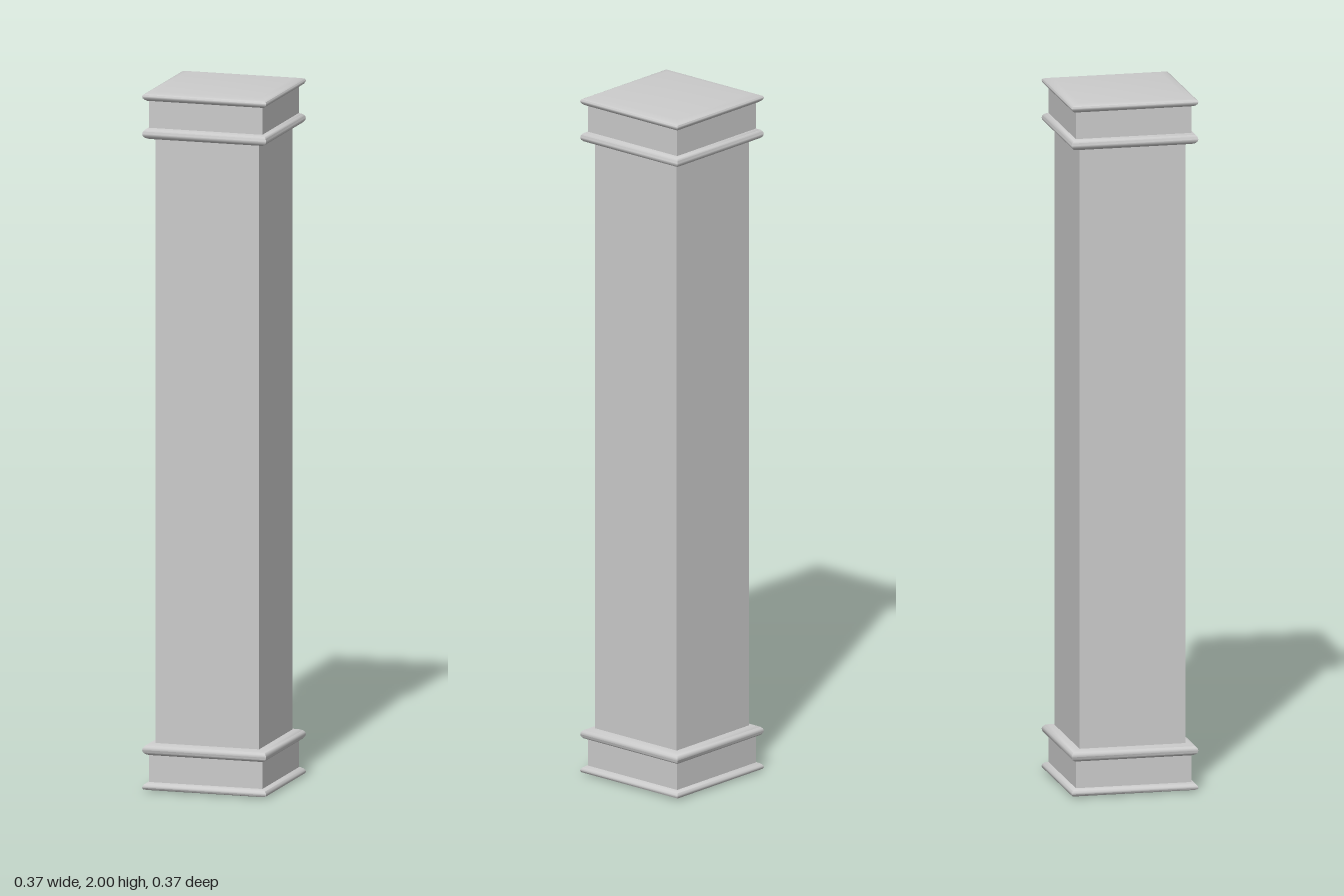
import * as THREE from 'three';
import { toCreasedNormals } from 'three/addons/utils/BufferGeometryUtils.js';

const material = new THREE.MeshStandardMaterial({ color: 0xcccccc });

// Sweeps a profile of [half width, height], bottom to top, round a square.
function squareTurned(name, profile) {
  const points = profile.map(([w, y]) => new THREE.Vector2(w * Math.SQRT2, y));
  const geometry = new THREE.LatheGeometry(points, 4, Math.PI / 4);
  const mesh = new THREE.Mesh(toCreasedNormals(geometry, 0.9), material);
  mesh.name = name;
  return mesh;
}

function box(name, width, y0, y1) {
  const mesh = new THREE.Mesh(new THREE.BoxGeometry(width, y1 - y0, width), material);
  mesh.position.y = (y0 + y1) / 2;
  mesh.name = name;
  return mesh;
}

// Thin slab with a softly rounded edge, closing the end of the column
const endProfile = [
  [0, 0], [0.155, 0], [0.174, 0.003], [0.181, 0.006], [0.183, 0.01],
  [0.182, 0.015], [0.178, 0.02], [0.172, 0.024], [0.155, 0.027], [0, 0.027],
];

// Rounded moulding between the block and the shaft
const mouldingProfile = [
  [0.15, 0.101], [0.167, 0.102], [0.176, 0.106], [0.181, 0.111], [0.183, 0.118],
  [0.181, 0.125], [0.176, 0.13], [0.167, 0.134], [0.15, 0.135],
];

const flip = (profile) => profile.map(([w, y]) => [w, 2 - y]).reverse();

export function createModel() {
  const column = new THREE.Group();
  column.name = 'squareColumn';
  column.add(box('shaft', 0.306, 0.12, 1.88));

  // Base
  const base = new THREE.Group();
  base.name = 'base';
  base.add(
    squareTurned('baseSlab', endProfile),
    box('baseBlock', 0.334, 0.015, 0.118),
    squareTurned('baseMoulding', mouldingProfile),
  );

  // Capital, mirroring the base
  const capital = new THREE.Group();
  capital.name = 'capital';
  capital.add(
    squareTurned('capitalSlab', flip(endProfile)),
    box('capitalBlock', 0.334, 1.882, 1.985),
    squareTurned('capitalMoulding', flip(mouldingProfile)),
  );

  column.add(base, capital);
  return column;
}
